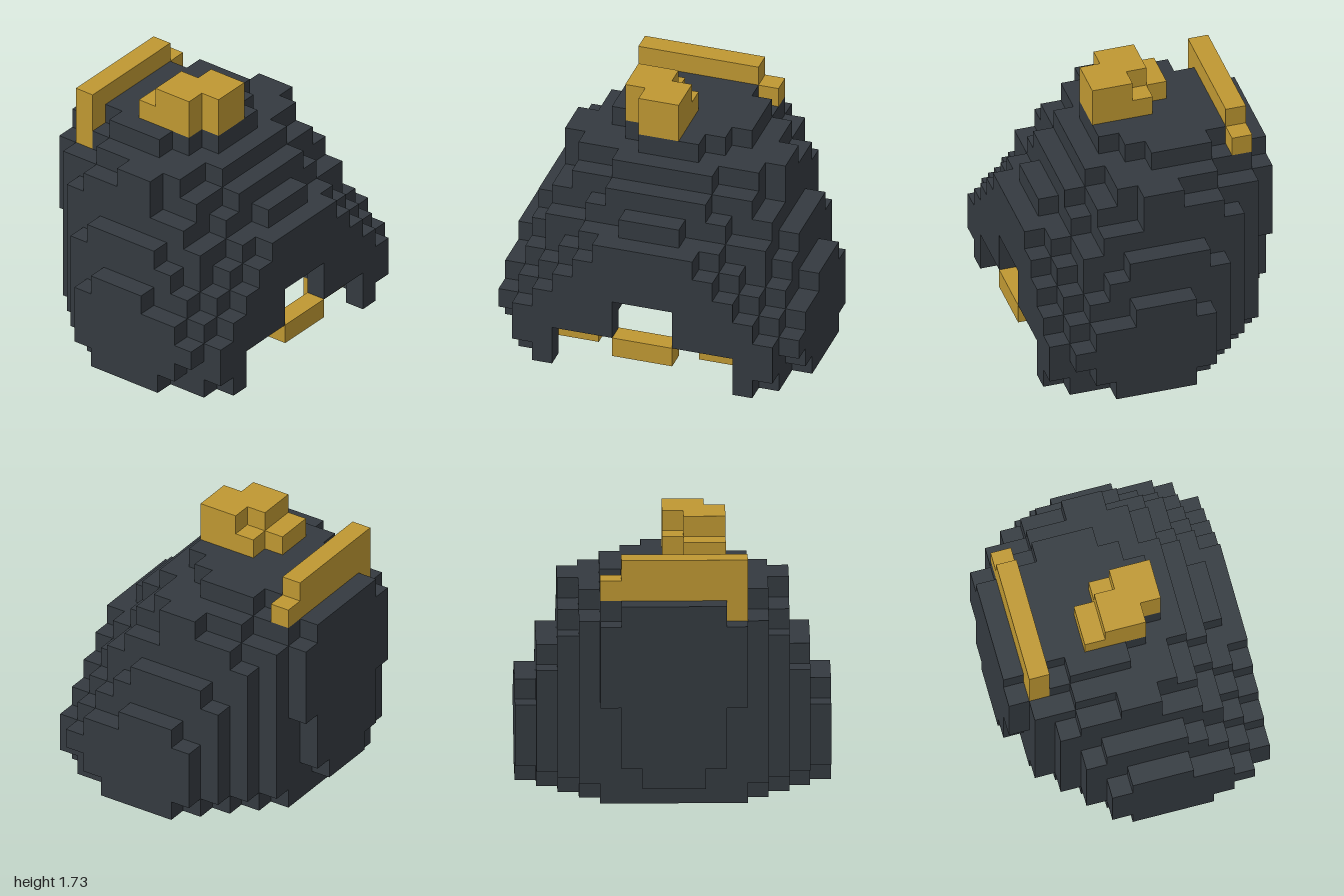
import * as THREE from 'three';
import { mergeGeometries } from 'three/addons/utils/BufferGeometryUtils.js';

const U = 2 / 15; // edge of one cube

// Half depth of the body for columns x = -6..5, one line per layer from the ground up (-1 = empty)
const LAYERS = [
  [-1, 3, 4, 5, 6, 7, 7, 7, 7, 6, 6, 5],
  [1, 4, 5, 6, 7, 7, 7, 7, 7, 7, 6, 6],
  [2, 4, 5, 6, 7, 7, 7, 7, 7, 7, 7, 6],
  [2, 4, 5, 6, 7, 7, 7, 7, 7, 7, 6, 5],
  [2, 4, 5, 6, 6, 7, 7, 7, 6, 6, 5, 4],
  [3, 4, 5, 6, 6, 6, 6, 6, 6, 5, 4, 3],
  [3, 4, 5, 5, 6, 6, 6, 6, 5, 5, 3, 2],
  [3, 4, 5, 5, 5, 5, 5, 5, 5, 3, 1, -1],
  [3, 4, 4, 5, 5, 5, 5, 4, 4, 2, -1, -1],
  [2, 3, 3, 4, 4, 5, 5, 4, 2, -1, -1, -1],
  [-1, -1, 2, 3, 3, 3, 2, 1, -1, -1, -1, -1],
];

// Half depth of the cavity below, stepping inwards; the last column is the opening in the +x wall
const CAVITY = [
  [-1, -1, 3, 4, 5, 6, 6, 6, 5, 5, 5, 4],
  [-1, -1, 3, 4, 5, 6, 6, 6, 6, 5, 5, 4],
  [-1, -1, 2, 3, 4, 4, 4, 4, 4, 4, 2, 1],
  [-1, -1, -1, -1, 2, 3, 3, 3, 3, 2, 1, 1],
];

const DIRS = [[1, 0, 0], [-1, 0, 0], [0, 1, 0], [0, -1, 0], [0, 0, 1], [0, 0, -1]];
const key = (x, y, z) => `${x},${y},${z}`;

// Fill a block of cubes, all bounds inclusive
function fill(cells, x0, x1, y0, y1, z0, z1) {
  for (let x = x0; x <= x1; x++)
    for (let y = y0; y <= y1; y++)
      for (let z = z0; z <= z1; z++) cells.set(key(x, y, z), [x, y, z]);
}

// Only the exposed faces of a set of cubes
function cubeGeometry(cells, occupied) {
  const faces = [];
  const forward = new THREE.Vector3(0, 0, 1);
  for (const [x, y, z] of cells.values()) {
    for (const d of DIRS) {
      if (occupied.has(key(x + d[0], y + d[1], z + d[2]))) continue;
      const face = new THREE.PlaneGeometry(U, U);
      const q = new THREE.Quaternion();
      if (d[2] === -1) q.setFromAxisAngle(new THREE.Vector3(0, 1, 0), Math.PI);
      else q.setFromUnitVectors(forward, new THREE.Vector3(...d));
      face.applyQuaternion(q);
      face.translate((x + 0.5 + d[0] / 2) * U, (y + 0.5 + d[1] / 2) * U, (z + d[2] / 2) * U);
      faces.push(face);
    }
  }
  return mergeGeometries(faces);
}

export function createModel() {
  const slate = new THREE.MeshStandardMaterial({ color: 0x343a40 });
  slate.name = 'dark slate';
  const gold = new THREE.MeshStandardMaterial({ color: 0xbf9832 });
  gold.name = 'gold';

  // Stepped body, hollowed from below
  const body = new Map();
  LAYERS.forEach((row, y) => row.forEach((k, i) => {
    const hollow = y < CAVITY.length ? CAVITY[y][i] : -1;
    for (let z = -k; z <= k; z++)
      if (Math.abs(z) > hollow) fill(body, i - 6, i - 6, y, y, z, z);
  }));

  // Upright fin on the -x shoulder, with a low step at its back end
  const fin = new Map();
  fill(fin, -5, -5, 9, 11, -2, 3);
  fill(fin, -5, -5, 10, 10, -3, -3);

  // Stepped knob on the crown
  const knob = new Map();
  fill(knob, -2, 1, 11, 11, 1, 1);
  fill(knob, -2, 0, 11, 11, 2, 2);
  fill(knob, -1, 1, 11, 11, 0, 0);
  fill(knob, -1, 1, 12, 12, 1, 1);
  fill(knob, -1, 0, 12, 12, 2, 2);
  fill(knob, 0, 1, 12, 12, 0, 0);

  // Broken ring inside the rim
  const ring = new Map();
  fill(ring, 5, 5, 1, 1, -1, 1);
  fill(ring, 4, 4, 1, 1, 3, 4);
  fill(ring, 4, 4, 1, 1, -4, -3);
  for (const side of [-1, 1]) {
    for (const x of [2, 0, -2]) fill(ring, x, x, 1, 1, side * 5, side * 5);
    fill(ring, -3, -3, 1, 1, side * 4, side * 4);
  }

  const accents = { fin, knob, innerRing: ring };
  for (const cells of Object.values(accents)) for (const k of cells.keys()) body.delete(k);
  const occupied = new Set(body.keys());
  for (const cells of Object.values(accents)) for (const k of cells.keys()) occupied.add(k);

  const model = new THREE.Group();
  model.name = 'helmet';
  const add = (name, cells, material) => {
    const mesh = new THREE.Mesh(cubeGeometry(cells, occupied), material);
    mesh.name = name;
    model.add(mesh);
  };
  add('body', body, slate);
  for (const [name, cells] of Object.entries(accents)) add(name, cells, gold);
  return model;
}
